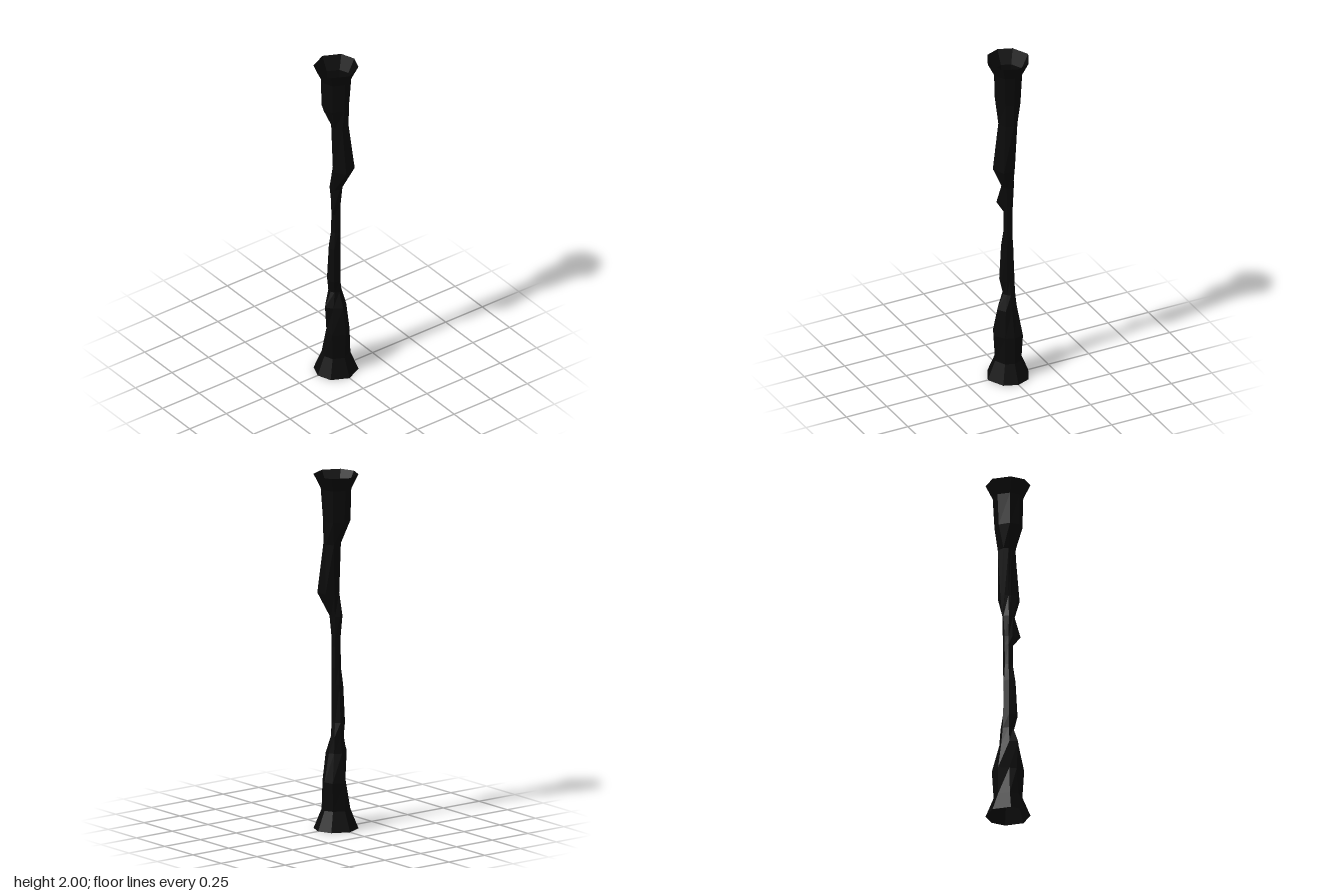
import * as THREE from 'three';

// Unit directions of the eight corners, running from +x towards +z
const DIRECTIONS = [
  [1, 0], [0.63, 0.76], [0, 1], [-0.63, 0.76],
  [-1, 0], [-0.63, -0.76], [0, -1], [0.63, -0.76],
];

// Cross-sections from bottom to top: height, then one radius for every corner
// (a single radius stands for a regular ring)
const RINGS = [
  [0, [0.125]],
  [0.11, [0.08]],
  [0.27, [0.09, 0.09, 0.065, 0.052, 0.08, 0.09, 0.08, 0.075]],
  [0.43, [0.067, 0.058, 0.075, 0.058, 0.053, 0.048, 0.05, 0.057]],
  [0.52, [0.03, 0.033, 0.037, 0.043, 0.043, 0.042, 0.035, 0.028]],
  [0.6, [0.04, 0.053, 0.058, 0.05, 0.04, 0.026, 0.022, 0.025]],
  [0.81, [0.031, 0.042, 0.048, 0.04, 0.032, 0.026, 0.022, 0.025]],
  [0.91, [0.025, 0.027, 0.027, 0.027, 0.025, 0.027, 0.028, 0.025]],
  [1.03, [0.026, 0.028, 0.028, 0.026, 0.027, 0.027, 0.025, 0.025]],
  [1.08, [0.028, 0.07, 0.033, 0.025, 0.027, 0.029, 0.025, 0.025]],
  [1.2, [0.037, 0.037, 0.037, 0.036, 0.037, 0.031, 0.035, 0.036]],
  [1.33, [0.094, 0.053, 0.022, 0.018, 0.028, 0.042, 0.074, 0.104]],
  [1.61, [0.06, 0.042, 0.025, 0.027, 0.037, 0.057, 0.072, 0.07]],
  [1.74, [0.077, 0.08, 0.085, 0.08, 0.075, 0.075, 0.074, 0.072]],
  [1.92, [0.085]],
  [2, [0.125]],
];

// Open eight-sided skin stretched over the cross-sections
function loftRings(rings) {
  const sides = DIRECTIONS.length;
  const positions = [];
  const index = [];
  rings.forEach(([y, radii], i) => {
    DIRECTIONS.forEach(([x, z], j) => {
      const r = radii[j % radii.length];
      positions.push(x * r, y, z * r);
      if (i === rings.length - 1) return;
      const a = i * sides + j;
      const b = i * sides + (j + 1) % sides;
      index.push(a, a + sides, b, b, a + sides, b + sides);
    });
  });
  const indexed = new THREE.BufferGeometry();
  indexed.setAttribute('position', new THREE.Float32BufferAttribute(positions, 3));
  indexed.setIndex(index);
  const geometry = indexed.toNonIndexed();
  geometry.computeVertexNormals();
  return geometry;
}

export function createModel() {
  const model = new THREE.Group();
  model.name = 'rockColumn';

  const darkStone = new THREE.MeshStandardMaterial({
    color: 0x0a0a0a, flatShading: true, side: THREE.DoubleSide,
  });
  darkStone.name = 'darkStone';

  // Hollow, irregular column flaring at both open ends
  const column = new THREE.Mesh(loftRings(RINGS), darkStone);
  column.name = 'column';
  model.add(column);
  return model;
}
